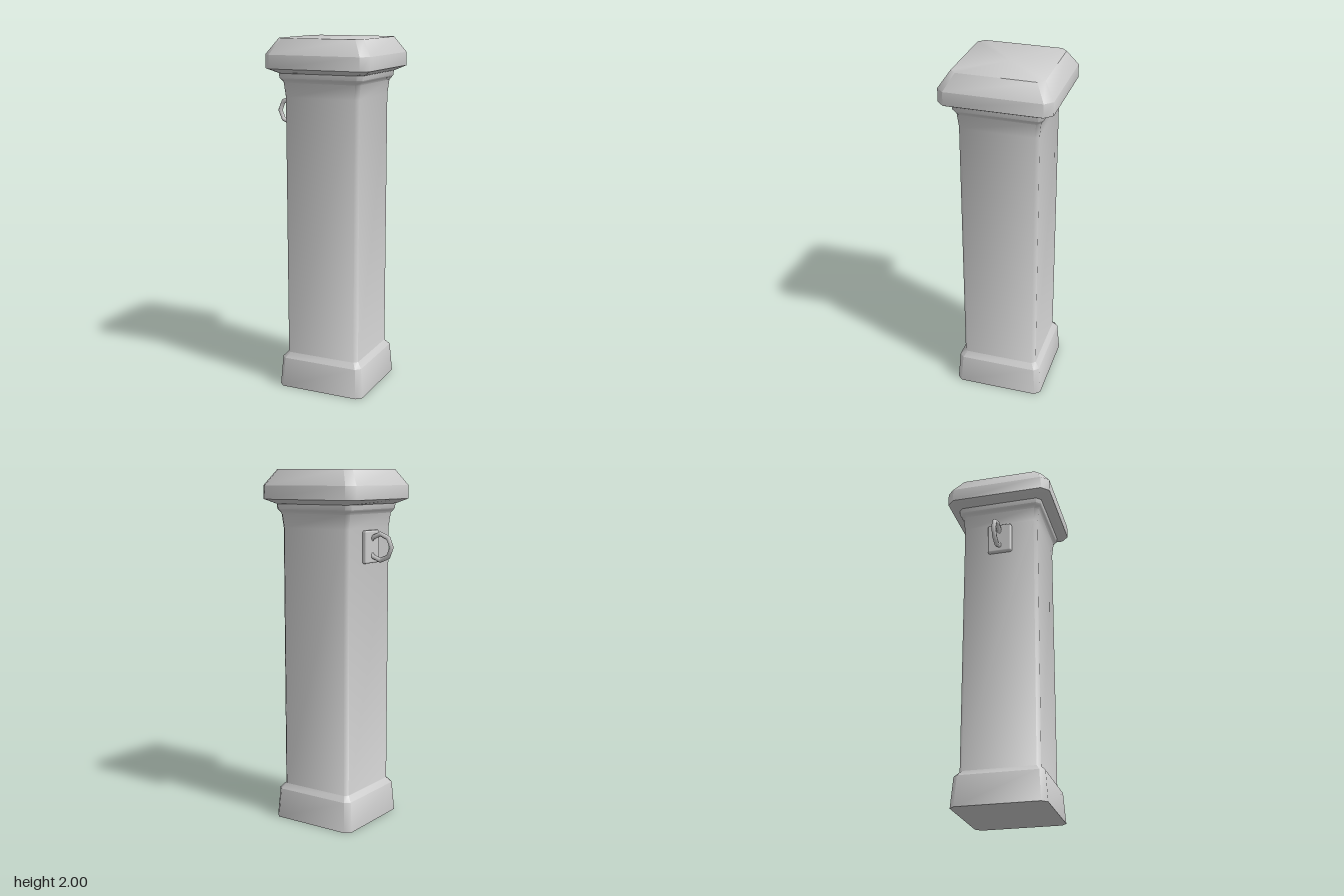
import * as THREE from 'three';
import { toCreasedNormals } from 'three/addons/utils/BufferGeometryUtils.js';
import { RoundedBoxGeometry } from 'three/addons/geometries/RoundedBoxGeometry.js';

// Square section with cut corners, as [x, z] points
function section(half, cut) {
  const c = half - cut;
  return [[half, c], [c, half], [-c, half], [-half, c], [-half, -c], [-c, -half], [c, -half], [half, -c]];
}

// Stack of cut-corner squares; each profile row is [half width, height, corner cut]
function loft(profile) {
  const rings = profile.map(([half, y, cut]) => section(half, cut).map(([x, z]) => [x, y, z]));
  const pos = [];
  const tri = (a, b, c) => pos.push(...a, ...b, ...c);
  const last = rings.length - 1;
  const bottom = [0, profile[0][1], 0];
  const top = [0, profile[last][1], 0];
  for (let i = 0; i < 8; i++) {
    const j = (i + 1) % 8;
    for (let k = 0; k < last; k++) {
      const lo = rings[k], hi = rings[k + 1];
      tri(lo[i], hi[i], lo[j]);
      tri(lo[j], hi[i], hi[j]);
    }
    tri(bottom, rings[0][i], rings[0][j]);
    tri(top, rings[last][j], rings[last][i]);
  }
  const geo = new THREE.BufferGeometry();
  geo.setAttribute('position', new THREE.Float32BufferAttribute(pos, 3));
  return toCreasedNormals(geo, THREE.MathUtils.degToRad(50));
}

export function createModel() {
  const stone = new THREE.MeshStandardMaterial({ color: 0xcccccc });
  stone.name = 'pale grey';

  const post = new THREE.Group();
  post.name = 'post';
  post.rotation.y = THREE.MathUtils.degToRad(-20);

  const add = (name, geo, x = 0, y = 0) => {
    const mesh = new THREE.Mesh(geo, stone);
    mesh.name = name;
    mesh.position.set(x, y, 0);
    post.add(mesh);
  };

  // Flared foot, straight shaft and collar
  add('column', loft([
    [0.26, 0, 0.03],
    [0.247, 0.17, 0.027],
    [0.22, 0.2, 0.02],
    [0.22, 1.68, 0.02],
    [0.229, 1.76, 0.022],
    [0.24, 1.775, 0.024],
    [0.247, 1.785, 0.025],
    [0.25, 1.825, 0.025],
  ]));

  // Bevelled cap
  add('cap', loft([
    [0.255, 1.812, 0.034],
    [0.308, 1.838, 0.042],
    [0.308, 1.913, 0.042],
    [0.25, 2, 0.034],
  ]));

  // Tether ring on its backing plate
  add('ringPlate', new RoundedBoxGeometry(0.04, 0.18, 0.14, 2, 0.01), -0.222, 1.58);
  add('ring', new THREE.TorusGeometry(0.072, 0.014, 6, 8), -0.29, 1.58);

  const model = new THREE.Group();
  model.name = 'stonePost';
  model.add(post);
  return model;
}
